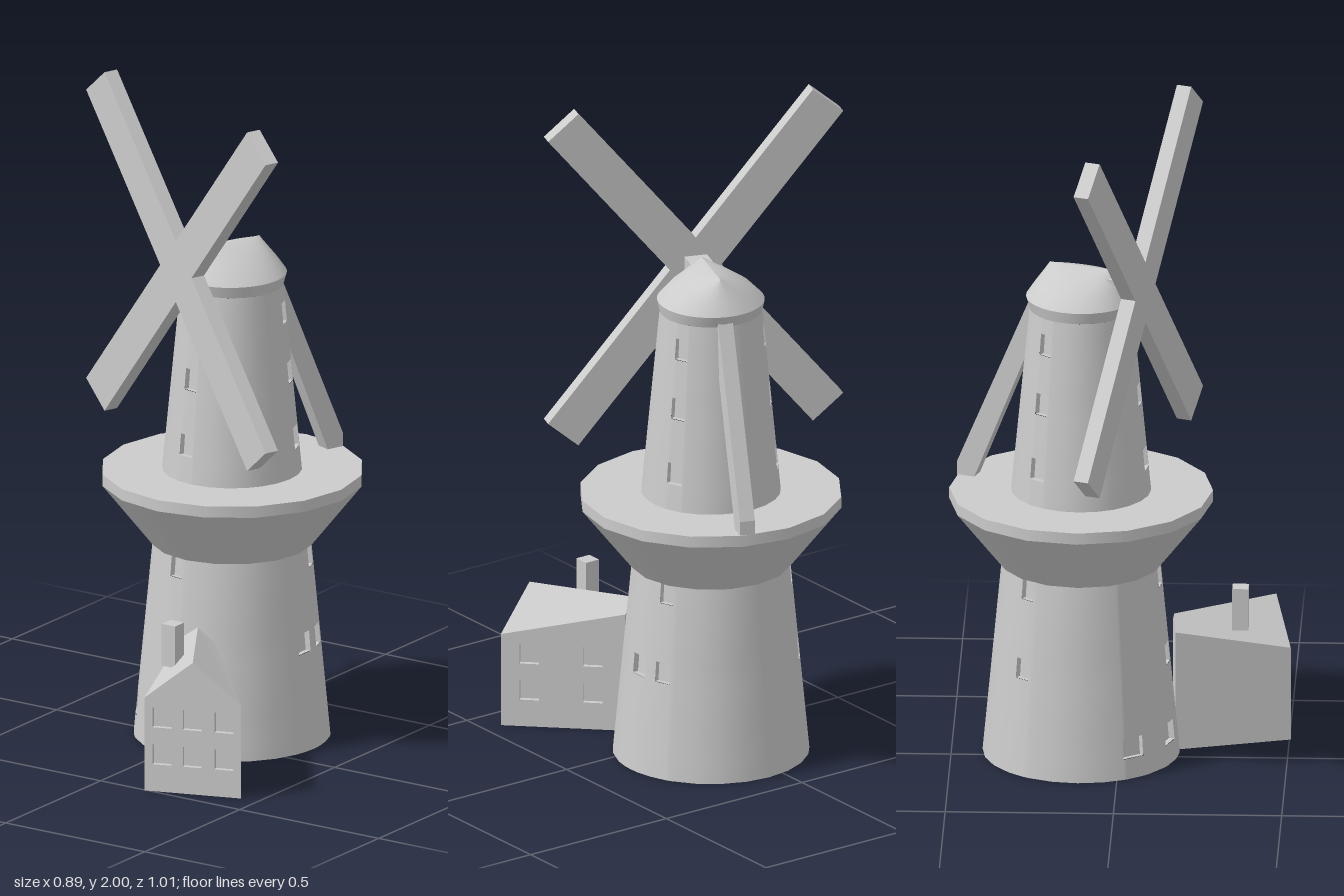
import * as THREE from 'three';

const grey = new THREE.MeshStandardMaterial({ color: 0xcccccc });
const RAD = Math.PI / 180;
const YAW = -20 * RAD; // the way the cap and sails are turned

function add(parent, name, geometry, x = 0, y = 0, z = 0) {
  const mesh = new THREE.Mesh(geometry, grey);
  mesh.name = name;
  mesh.position.set(x, y, z);
  parent.add(mesh);
  return mesh;
}

// Closed loft: rows of points stacked upwards, cols running round; cells may be left open
function loft(rows, cols, point, isOpen = () => false) {
  const pos = [], index = [];
  for (let i = 0; i < rows; i++)
    for (let j = 0; j < cols; j++) pos.push(...point(i, j));
  for (let i = 0; i < rows - 1; i++)
    for (let j = 0; j < cols; j++) {
      if (isOpen(i, j)) continue;
      const k = (j + 1) % cols, a = i * cols + j, b = i * cols + k;
      index.push(a, b, b + cols, a, b + cols, a + cols);
    }
  const g = new THREE.BufferGeometry();
  g.setAttribute('position', new THREE.Float32BufferAttribute(pos, 3));
  g.setIndex(index);
  g.computeVertexNormals();
  return g;
}

// Niche behind a window: a box turned inside out, without its front
function recessGeometry(width, height, depth) {
  const g = new THREE.BoxGeometry(width, height, depth);
  const sides = Array.from(g.index.array).filter((_, i) => i < 24 || i >= 30);
  g.clearGroups();
  g.setIndex(sides.reverse());
  g.computeVertexNormals();
  return g;
}

// Tapered round wall with recessed windows given as [degrees, centre height, half width in degrees]
function towerWall(parent, name, y0, y1, r0, r1, windows, height) {
  const unique = (list) => [...new Set(list)].sort((a, b) => a - b);
  const norm = (d) => (d + 360) % 360;
  const angles = unique([
    ...Array.from({ length: 24 }, (_, i) => i * 15),
    ...windows.flatMap(([d, , half]) => [norm(d - half), norm(d + half)]),
  ]);
  const ys = unique([y0, y1, ...windows.flatMap(([, y]) => [y - height / 2, y + height / 2])]);
  const radius = (y) => r0 + ((r1 - r0) * (y - y0)) / (y1 - y0);
  const isOpen = (i, j) => {
    const next = j + 1 < angles.length ? angles[j + 1] : 360;
    const mid = (angles[j] + next) / 2, y = (ys[i] + ys[i + 1]) / 2;
    return windows.some(([d, wy, half]) =>
      Math.abs(norm(mid - d + 180) - 180) < half && Math.abs(y - wy) < height / 2);
  };
  add(parent, name, loft(ys.length, angles.length, (i, j) => {
    const r = radius(ys[i]), a = angles[j] * RAD;
    return [r * Math.sin(a), ys[i], r * Math.cos(a)];
  }, isOpen));

  const depth = 0.018, tilt = Math.atan((r0 - r1) / (y1 - y0));
  for (const [d, y, half] of windows) {
    const a = d * RAD, r = radius(y) * Math.cos(half * RAD) - depth / 2;
    const width = 2 * radius(y) * Math.sin(half * RAD);
    const recess = add(parent, 'windowRecess', recessGeometry(width, height, depth),
      r * Math.sin(a), y, r * Math.cos(a));
    recess.rotation.set(-tilt, a, 0, 'YXZ');
  }
}

// Upright flat wall from a to b (x, z), outline in wall coordinates, windows as [u, y]
function houseWall(parent, name, a, b, tops, windows = []) {
  const dx = b[0] - a[0], dz = b[1] - a[1], len = Math.hypot(dx, dz);
  const wall = new THREE.Group();
  wall.name = name;
  wall.position.set(a[0], 0, a[1]);
  wall.rotation.y = Math.atan2(-dz, dx);
  parent.add(wall);
  const outline = [[0, 0], [1, 0], ...tops].map(([u, y]) => new THREE.Vector2(u * len, y));
  const shape = new THREE.Shape(outline);
  const w = 0.058, h = 0.062, depth = 0.015;
  for (const [u, y] of windows) {
    const l = u * len - w / 2, m = y - h / 2;
    shape.holes.push(new THREE.Path([[l, m], [l, m + h], [l + w, m + h], [l + w, m]]
      .map((p) => new THREE.Vector2(...p))));
    add(wall, 'houseWindowRecess', recessGeometry(w, h, depth), u * len, y, -depth / 2);
  }
  add(wall, name + 'Panel', new THREE.ShapeGeometry(shape));
}

// Flat four-cornered face, corners anticlockwise as seen from its front
function quad(...corners) {
  const g = new THREE.BufferGeometry();
  const [a, b, c, d] = corners;
  g.setAttribute('position', new THREE.Float32BufferAttribute([a, b, c, a, c, d].flat(), 3));
  g.computeVertexNormals();
  return g;
}

function buildTower() {
  const tower = new THREE.Group();
  tower.name = 'tower';
  const columns = [-9.5, 110.5, 230.5];
  const grid = (heights, half) => columns.flatMap((d) => heights.map((y) => [d, y, half]));

  // Lower tower with two extra openings near the ground and one beside the right column
  towerWall(tower, 'lowerTower', 0, 0.6, 0.293, 0.236,
    [...grid([0.325, 0.568], 5.5), [-55, 0.093, 7], [-20, 0.093, 7], [89.5, 0.325, 6.5]], 0.062);
  add(tower, 'towerBase', new THREE.CircleGeometry(0.293, 24)).rotation.x = Math.PI / 2;

  // Gallery
  add(tower, 'galleryFlare', new THREE.CylinderGeometry(0.392, 0.24, 0.192, 16, 1, true), 0, 0.694);
  add(tower, 'galleryRim', new THREE.CylinderGeometry(0.392, 0.392, 0.035, 16), 0, 0.8075);

  // Upper tower
  towerWall(tower, 'upperTower', 0.825, 1.4, 0.208, 0.153, grid([0.937, 1.137, 1.32], 7.5), 0.065);
  return tower;
}

function buildCap() {
  const cap = new THREE.Group();
  cap.name = 'cap';
  cap.rotation.y = YAW;

  // Round eave closing up to a straight ridge: [height, half width, half length]
  const eave = [[1.4, 0.153, 0.153], [1.435, 0.16, 0.165]];
  const roof = [eave[1], [1.475, 0.12, 0.139], [1.505, 0.07, 0.117], [1.524, 0.028, 0.104], [1.53, 0, 0.1]];
  for (const [name, rings] of [['capEave', eave], ['capRoof', roof]])
    add(cap, name, loft(rings.length, 32, (i, j) => {
      const [y, rx, rz] = rings[i], a = (j / 32) * 2 * Math.PI;
      return [rx * Math.sin(a), y, rz * Math.cos(a)];
    }));

  // Sails on their shaft
  add(cap, 'sailShaft', new THREE.BoxGeometry(0.07, 0.07, 0.13), 0, 1.476, 0.105);
  for (const s of [-1, 1])
    add(cap, 'sailPair', new THREE.BoxGeometry(0.122, 1.275, 0.046), 0, 1.473, 0.183).rotation.z = s * 40 * RAD;

  // Slanting tail pole from the cap down to the gallery, its foot cut square
  const profile = [[0.095, 1.41], [0.335, 0.82], [0.388, 0.82], [0.388, 0.868], [0.156, 1.41]];
  const width = 0.046;
  const pole = new THREE.ExtrudeGeometry(
    new THREE.Shape(profile.map((p) => new THREE.Vector2(...p))), { depth: width, bevelEnabled: false });
  pole.translate(0, 0, -width / 2).rotateY(Math.PI / 2);
  add(cap, 'tailPole', pole);
  return cap;
}

function buildHouse() {
  const house = new THREE.Group();
  house.name = 'house';
  // Wedge-shaped plan, narrowing towards the tower
  const FL = [0.161, 0.504], FR = [0.442, 0.409], BR = [0.172, 0.153], BL = [0.062, 0.165];
  const low = 0.29, high = 0.37, ridge = 0.41;
  const rows = [0.115, 0.23];
  const windows = (us) => us.flatMap((u) => rows.map((y) => [u, y]));
  houseWall(house, 'frontWall', FL, FR, [[1, low], [0.5, ridge], [0, low]], windows([0.18, 0.495, 0.825]));
  houseWall(house, 'rightWall', FR, BR, [[1, high], [0, low]], windows([0.23, 0.74]));
  houseWall(house, 'backWall', BR, BL, [[1, high], [0.5, ridge], [0, high]]);
  houseWall(house, 'leftWall', BL, FL, [[1, low], [0, high]]);

  const at = ([x, z], y) => [x, y, z];
  const mid = (a, b) => [(a[0] + b[0]) / 2, ridge, (a[1] + b[1]) / 2];
  const front = mid(FL, FR), back = mid(BL, BR);
  add(house, 'leftRoof', quad(at(FL, low), front, back, at(BL, high)));
  add(house, 'rightRoof', quad(at(FR, low), at(BR, high), back, front));
  add(house, 'houseFloor', quad(at(FL, 0), at(BL, 0), at(BR, 0), at(FR, 0)));
  add(house, 'chimney', new THREE.BoxGeometry(0.048, 0.13, 0.048), 0.161, 0.417, 0.355);
  return house;
}

export function createModel() {
  const model = new THREE.Group();
  model.name = 'windmill';
  const mill = new THREE.Group();
  mill.name = 'mill';
  mill.position.set(0.053, 0, -0.115);
  mill.add(buildTower(), buildCap());
  model.add(mill, buildHouse());
  return model;
}
